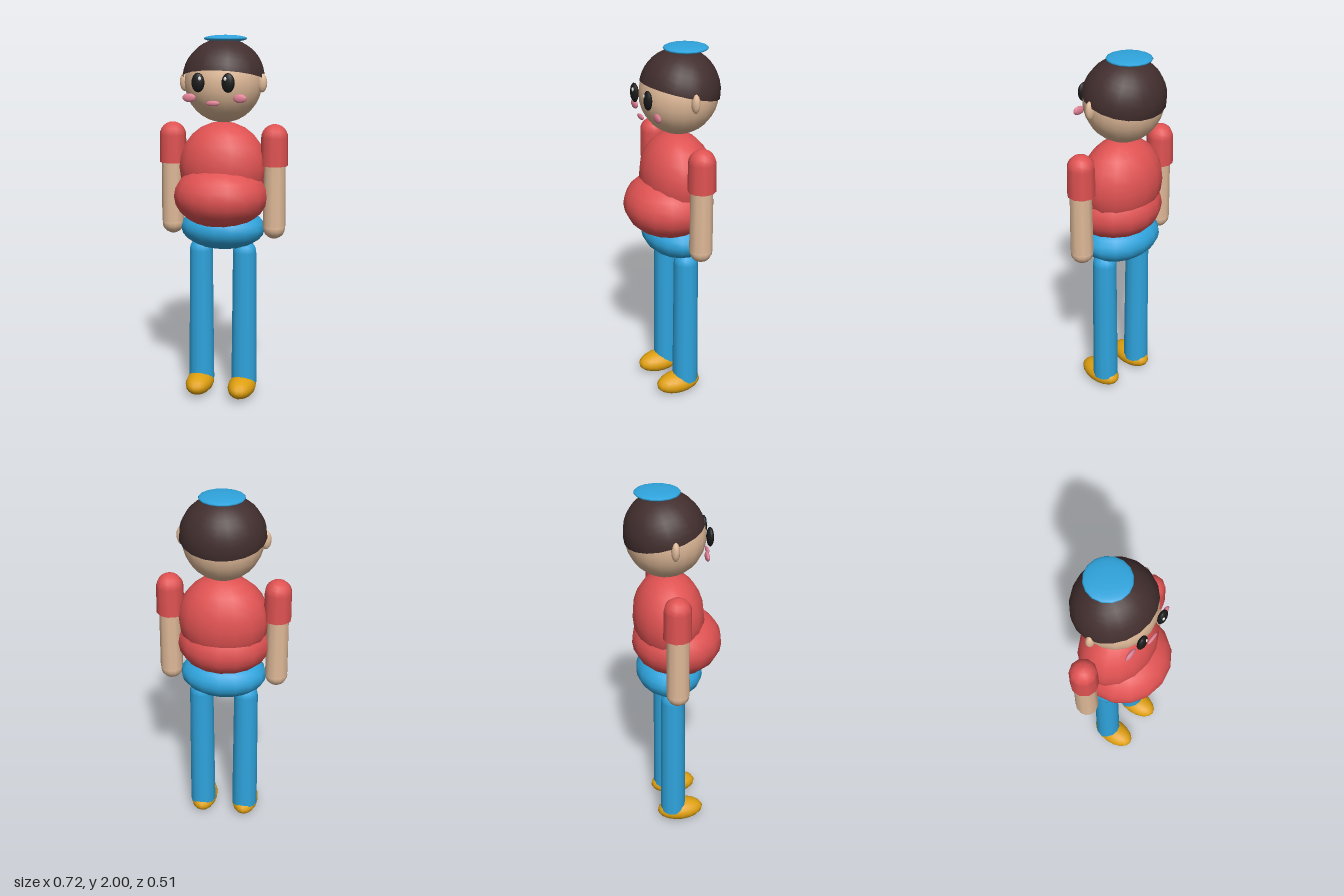
import * as THREE from 'three';

export function createModel() {
  const root = new THREE.Group();
  root.name = 'figure';

  const mat = (name, color) => {
    const m = new THREE.MeshStandardMaterial({ color });
    m.name = name;
    return m;
  };
  const skin = mat('skin', 0xdfb998);
  const red = mat('shirt red', 0xe05252);
  const blue = mat('trouser blue', 0x2fa4dd);
  const brown = mat('hair brown', 0x422e2e);
  const black = mat('eye black', 0x1a1a1a);
  const white = mat('highlight white', 0xffffff);
  const pink = mat('blush pink', 0xe08095);
  const gold = mat('shoe gold', 0xdfa010);

  const add = (name, geo, material, pos) => {
    const m = new THREE.Mesh(geo, material);
    m.name = name;
    m.position.set(...pos);
    root.add(m);
    return m;
  };
  // Ellipsoid from centre and radii
  const ball = (name, material, pos, radii, w = 16, h = 12) => {
    const m = add(name, new THREE.SphereGeometry(1, w, h), material, pos);
    m.scale.set(...radii);
    return m;
  };
  // Upright limb: flat closed bottom, tapered side, domed top
  const limb = (name, material, x, z, y0, r0, y1, r1, sides) => {
    const dome = [];
    for (let i = 1; i <= 6; i++) {
      const a = (i / 6) * Math.PI / 2;
      dome.push(new THREE.Vector2(i === 6 ? 0 : r1 * Math.cos(a), y1 + r1 * Math.sin(a)));
    }
    const side = [new THREE.Vector2(r0, y0), new THREE.Vector2(r1, y1), ...dome];
    add(name, new THREE.LatheGeometry(side, sides), material, [x, 0, z]);
    const cap = add(name + 'Bottom', new THREE.CircleGeometry(r0, sides), material, [x, y0, z]);
    cap.rotation.x = Math.PI / 2;
  };

  // Body
  ball('torso', red, [0, 1.3, -0.032], [0.243, 0.245, 0.19]);
  ball('belly', red, [0, 1.148, 0.013], [0.257, 0.178, 0.242]);
  ball('hips', blue, [0, 0.965, -0.03], [0.235, 0.12, 0.18]);

  // Head, tilted cap of hair and small hat
  ball('head', skin, [0, 1.752, -0.045], [0.208, 0.213, 0.207], 20, 16);
  const hair = add('hair',
    new THREE.SphereGeometry(1, 20, 10, 0, Math.PI * 2, 0, Math.PI / 2), brown, [0, 1.77, -0.05]);
  hair.scale.set(0.222, 0.213, 0.209);
  hair.rotation.x = -0.25;
  hair.material.side = THREE.DoubleSide;
  ball('hat', blue, [0, 1.981, -0.085], [0.117, 0.019, 0.117]);

  // Face
  ball('mouth', pink, [0, 1.655, 0.171], [0.037, 0.014, 0.009], 12, 8);
  for (const s of [-1, 1]) {
    const side = s > 0 ? 'left' : 'right';
    ball(side + 'Eye', black, [s * 0.08, 1.76, 0.167], [0.035, 0.05, 0.019], 12, 10);
    ball(side + 'EyeHighlight', white, [s * 0.068, 1.78, 0.18], [0.009, 0.011, 0.007], 8, 6);
    ball(side + 'Cheek', pink, [s * 0.136, 1.68, 0.142], [0.037, 0.023, 0.012], 12, 8);
    ball(side + 'Ear', skin, [s * 0.213, 1.752, -0.032], [0.028, 0.05, 0.022], 10, 8);

    // Arm
    limb(side + 'Sleeve', red, s * 0.284, -0.034, 1.315, 0.074, 1.465, 0.072, 10);
    add(side + 'Forearm', new THREE.CylinderGeometry(0.058, 0.062, 0.36, 10),
      skin, [s * 0.287, 1.165, -0.032]);
    ball(side + 'Hand', skin, [s * 0.287, 0.977, -0.032], [0.061, 0.061, 0.061], 12, 10);

    // Leg
    limb(side + 'Leg', blue, s * 0.124, -0.03, 0.075, 0.073, 0.83, 0.066, 12);
    ball(side + 'Shoe', gold, [s * 0.123, 0.062, 0.013], [0.076, 0.062, 0.132]);
  }
  return root;
}
